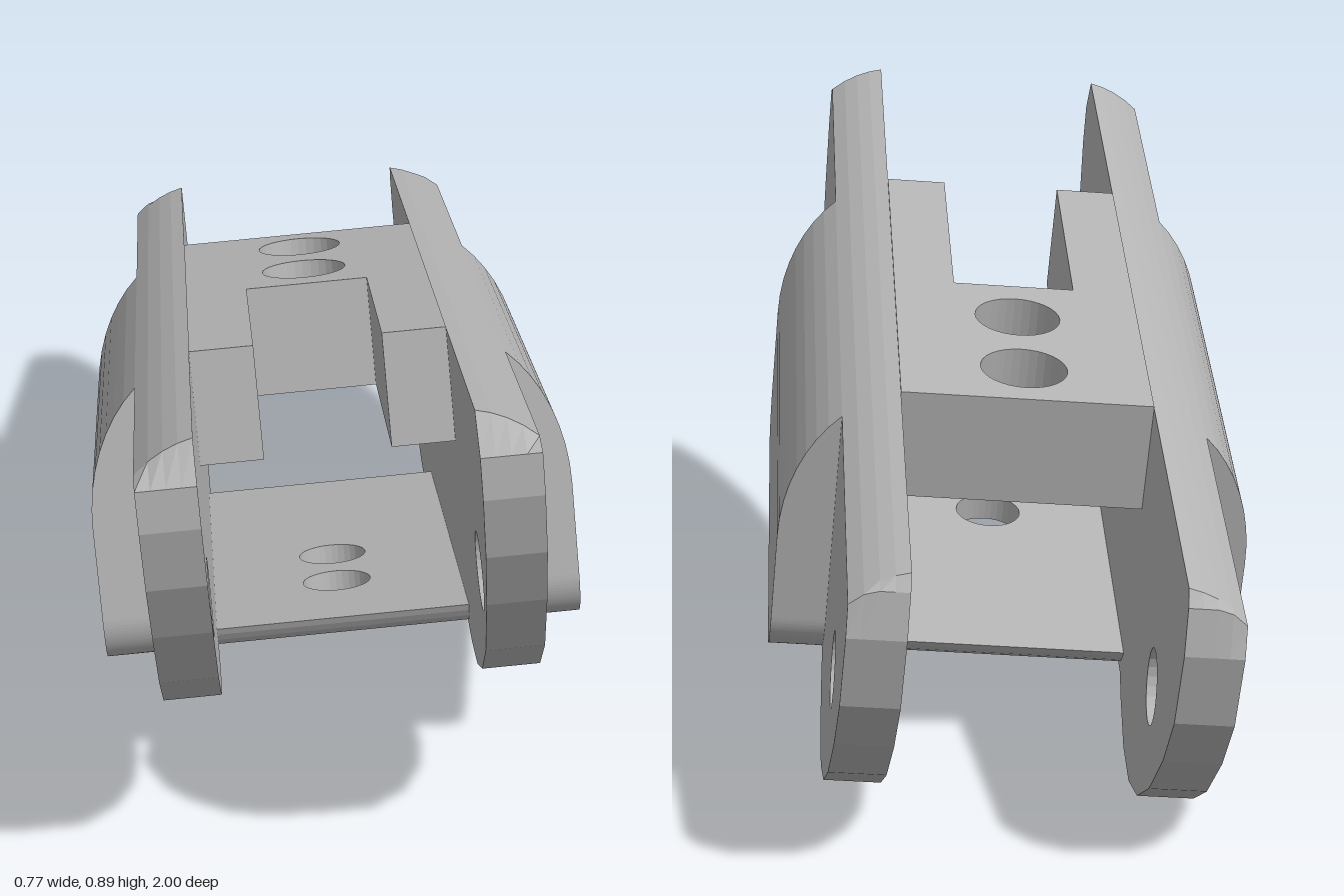
import * as THREE from 'three';

const BACK = -0.285, FRONT = 0.565, MID = 0.14;      // body ends along z
const TOP = 0.685, FLOOR = 0.187;                    // body top and underside
const GAP = 0.2, PLATE = 0.289, SIDE = 0.377;        // half widths: channel, plates, body

// Rounded shoulder of the cross-section: height of the top at a distance from the middle
const shoulder = (x) => {
  const s = Math.min(1, Math.max(0, (Math.abs(x) - 0.17) / (SIDE - 0.17)));
  return 0.415 + (TOP - 0.415) * Math.sqrt(1 - s * s);
};

const circle = (x, y, r) => new THREE.Path().absarc(x, y, r, 0, Math.PI * 2, true);
const polygon = (pts) => new THREE.Shape(pts.map(([a, b]) => new THREE.Vector2(a, b)));

// Applies a rule to every vertex and recomputes the facets
function reshape(geometry, rule) {
  const p = geometry.attributes.position;
  const v = new THREE.Vector3();
  for (let i = 0; i < p.count; i++) {
    v.fromBufferAttribute(p, i);
    rule(v);
    p.setXYZ(i, v.x, v.y, v.z);
  }
  geometry.computeVertexNormals();
  return geometry;
}

// Side outline (drawn as -z, y) extruded across x, its top trimmed to the shoulder
function sideSolid(shape, sign, steps, spread) {
  const g = new THREE.ExtrudeGeometry(shape, { depth: 1, steps, bevelEnabled: false, curveSegments: 12 });
  g.rotateY(Math.PI / 2);
  return reshape(g, (v) => {
    v.x = sign > 0 ? spread(v.x) : -spread(1 - v.x);
    v.y = Math.min(v.y, shoulder(v.x));
  });
}

// Plan outline (drawn as x, -z) extruded upwards
function planSolid(shape, bottom, top, steps = 1) {
  const g = new THREE.ExtrudeGeometry(shape, { depth: top - bottom, steps, bevelEnabled: false, curveSegments: 16 });
  g.rotateX(-Math.PI / 2);
  return g.translate(0, bottom, 0);
}

export function createModel() {
  const grey = new THREE.MeshStandardMaterial({ color: 0xb4b4b4 });
  const linkGrey = grey;
  linkGrey.name = 'link grey';
  const link = new THREE.Group();
  link.name = 'chainLink';
  const add = (name, geometry) => {
    const mesh = new THREE.Mesh(geometry, linkGrey);
    mesh.name = name;
    link.add(mesh);
  };

  // Long plates with a rounded lobe and pin hole at each end
  const plate = polygon([
    [1.10, 0.685], [1.135, 0.62], [1.125, 0.555], [1.08, 0.458], [1.005, 0.365], [0.892, 0.26],
    [0.767, 0.192], [0.653, 0.164], [0.56, 0.17], [0.5, 0.187],
    [-0.26, 0.187], [-0.308, 0.164], [-0.406, 0.132], [-0.508, 0.132], [-0.617, 0.173], [-0.728, 0.256],
    [-0.829, 0.368], [-0.89, 0.47], [-0.903, 0.59], [-0.885, 0.66], [-0.865, 0.685],
  ].map(([z, y]) => [-z, y]));
  plate.holes.push(circle(-0.903, 0.388, 0.06), circle(0.625, 0.375, 0.06));

  // Body cheek outline with rounded lower corners
  const r = 0.08;
  const cheek = new THREE.Shape();
  cheek.moveTo(-FRONT, TOP);
  cheek.lineTo(-FRONT, FLOOR + r);
  cheek.absarc(-FRONT + r, FLOOR + r, r, Math.PI, Math.PI * 1.5, false);
  cheek.absarc(-BACK - r, FLOOR + r, r, Math.PI * 1.5, Math.PI * 2, false);
  cheek.lineTo(-BACK, TOP);

  const start = Math.asin((PLATE - 0.17) / (SIDE - 0.17));
  const arc = (t) => 0.17 + (SIDE - 0.17) * Math.sin(start + (Math.PI / 2 - start) * t);
  for (const [side, sign] of [['left', 1], ['right', -1]]) {
    add(side + 'Plate', sideSolid(plate, sign, 4, (t) => GAP + (PLATE - GAP) * t));
    add(side + 'Cheek', sideSolid(cheek, sign, 8, arc));
  }

  // Upper deck, notched at the front, with two holes
  const deck = polygon([
    [-GAP, -BACK], [-GAP, -FRONT], [-0.1, -FRONT], [-0.1, -MID],
    [0.1, -MID], [0.1, -FRONT], [GAP, -FRONT], [GAP, -BACK],
  ]);
  deck.holes.push(circle(0, 0.173, 0.07), circle(0, -0.02, 0.07));
  add('upperDeck', planSolid(deck, 0.502, TOP));

  // Thin floor with two smaller holes, its ends rounded underneath
  const floor = polygon([[-GAP, -BACK], [-GAP, -FRONT], [GAP, -FRONT], [GAP, -BACK]]);
  floor.holes.push(circle(0, -0.193, 0.055), circle(0, -0.35, 0.055));
  add('floor', reshape(planSolid(floor, FLOOR, 0.232, 4), (v) => {
    const h = r - (v.y - FLOOR);
    const inset = r - Math.sqrt(Math.max(0, r * r - h * h));
    v.z = Math.min(FRONT - inset, Math.max(BACK + inset, v.z));
  }));

  // The whole link rests tilted
  link.children.forEach((m) => { m.position.x = 0.025; });
  link.rotation.set(-0.1937, -0.004, 0.0803);
  const model = new THREE.Group();
  model.name = 'model';
  model.add(link);
  return model;
}
